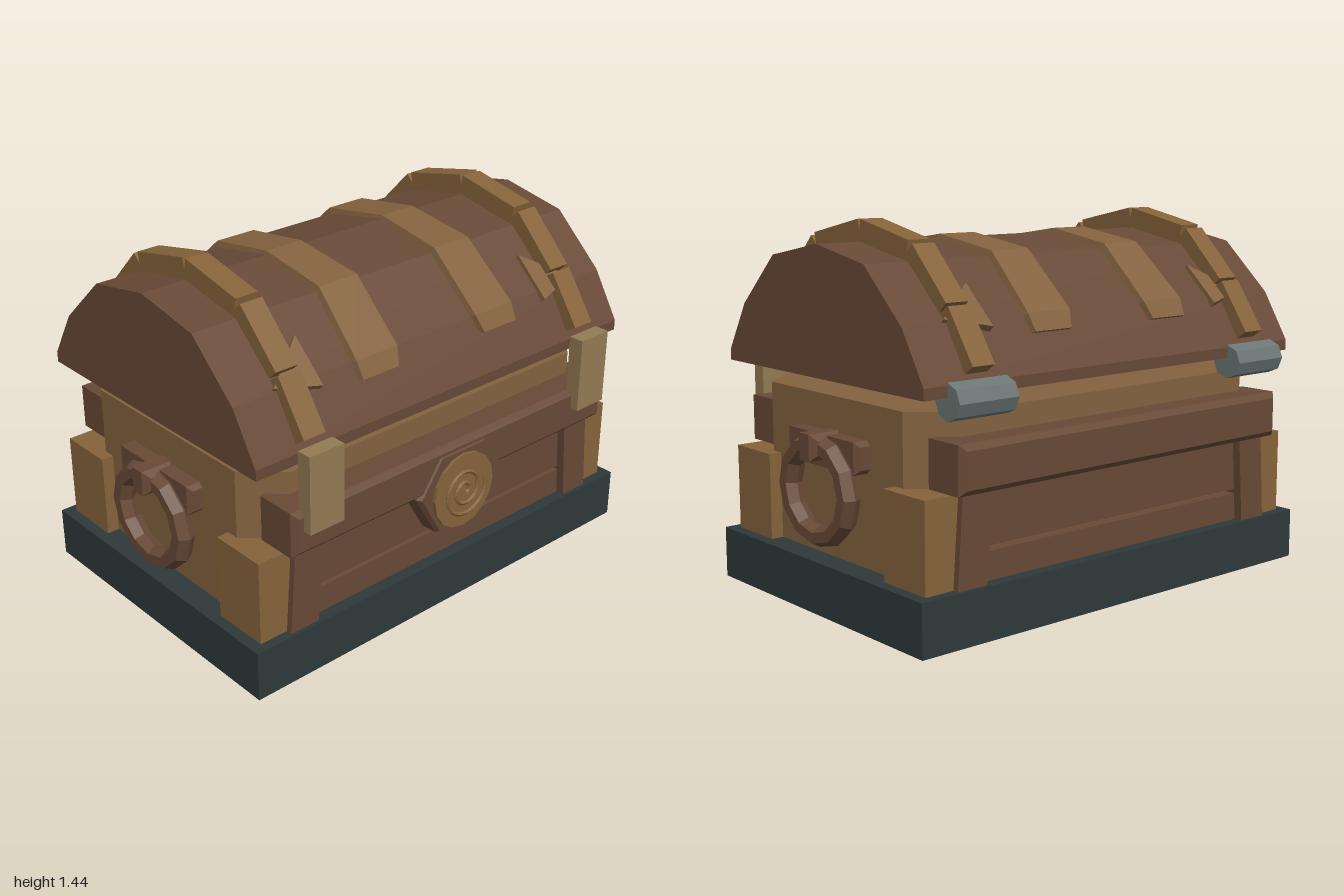
import * as THREE from 'three';

const mat = (color) => new THREE.MeshStandardMaterial({ color, flatShading: true });

// Closed solid through cross-section loops of [x, y, z] points, always facing outward
function loft(sections) {
  const n = sections[0].length, tris = [];
  for (let s = 0; s < sections.length - 1; s++) {
    const a = sections[s], b = sections[s + 1];
    for (let i = 0; i < n; i++) {
      const j = (i + 1) % n;
      tris.push([a[i], a[j], b[j]], [a[i], b[j], b[i]]);
    }
  }
  const first = sections[0], last = sections[sections.length - 1];
  for (let i = 1; i < n - 1; i++) {
    tris.push([first[0], first[i + 1], first[i]], [last[0], last[i], last[i + 1]]);
  }
  const v = (p) => new THREE.Vector3(...p);
  const center = v(first[0]);
  let volume = 0;
  for (const [a, b, c] of tris) {
    volume += v(a).sub(center).dot(v(b).sub(center).cross(v(c).sub(center)));
  }
  const points = tris.flatMap(([a, b, c]) => (volume < 0 ? [a, c, b] : [a, b, c])).flat();
  const geo = new THREE.BufferGeometry();
  geo.setAttribute('position', new THREE.Float32BufferAttribute(points, 3));
  geo.computeVertexNormals();
  return geo;
}

// Profile of [z, y] points extruded along x, centred on x = 0
function prismX(points, width) {
  const shape = new THREE.Shape(points.map(([z, y]) => new THREE.Vector2(z, y)));
  return new THREE.ExtrudeGeometry(shape, { depth: width, bevelEnabled: false })
    .translate(0, 0, -width / 2).rotateY(-Math.PI / 2);
}

// Box with chamfered edges, centred on the origin
function chamferBox(w, h, d, b) {
  const x = w / 2 - b, y = h / 2 - b;
  const shape = new THREE.Shape([[-x, -y], [x, -y], [x, y], [-x, y]].map((p) => new THREE.Vector2(...p)));
  return new THREE.ExtrudeGeometry(shape, {
    depth: d - 2 * b, bevelSize: b, bevelThickness: b, bevelSegments: 1,
  }).translate(0, 0, b - d / 2);
}

export function createModel() {
  const model = new THREE.Group();
  const chest = new THREE.Group();
  chest.name = 'chest';
  chest.position.z = -0.01;
  model.add(chest);

  const darkWood = mat(0x684936), lightWood = mat(0x83623f), brass = mat(0x85633a);
  const tan = mat(0x937a54), slate = mat(0x2f393a), iron = mat(0x6b7775);

  function add(name, geo, material, x = 0, y = 0, z = 0) {
    const mesh = new THREE.Mesh(geo, material);
    mesh.name = name;
    mesh.position.set(x, y, z);
    chest.add(mesh);
    return mesh;
  }
  // Box given by its limits
  const box = (name, material, x0, x1, y0, y1, z0, z1) => add(name,
    new THREE.BoxGeometry(Math.abs(x1 - x0), y1 - y0, Math.abs(z1 - z0)), material,
    (x0 + x1) / 2, (y0 + y1) / 2, (z0 + z1) / 2);

  // Base slab and body with cut corners
  box('base', slate, -0.965, 0.965, 0, 0.2, -0.645, 0.645);
  const plan = [[0.87, -0.42], [0.87, 0.42], [0.73, 0.55], [-0.73, 0.55],
    [-0.87, 0.42], [-0.87, -0.42], [-0.73, -0.55], [0.73, -0.55]];
  add('body', loft([0.2, 0.805].map((y) => plan.map(([x, z]) => [x, y, z]))), lightWood);

  // Rails, planks, posts and corner blocks on the front and back
  for (const sz of [1, -1]) {
    add('rail', chamferBox(1.63, 0.18, 0.205, 0.022), darkWood, 0, 0.628, sz * 0.573);
    box('lowerPlank', darkWood, -0.69, 0.69, 0.2, 0.308, sz * 0.5, sz * 0.595);
    box('upperPlank', darkWood, -0.69, 0.69, 0.326, 0.55, sz * 0.5, sz * 0.595);
    for (const sx of [1, -1]) {
      const postSection = (y, x0, x1) => [[x0, 0.5], [x1, 0.5], [x1, 0.63], [x0, 0.63]]
        .map(([x, z]) => [sx * x, y, sz * z]);
      add('post', loft([postSection(0.2, 0.67, 0.8), postSection(0.55, 0.645, 0.775)]), darkWood);
      box('cornerBlock', brass, sx * 0.72, sx * 0.92, 0.2, 0.535, sz * 0.37, sz * 0.605);
    }
  }

  // Arched lid
  const half = [[0.62, 0.874], [0.62, 0.916], [0.505, 1.105], [0.29, 1.303]];
  const mirrored = half.map(([z, y]) => [-z, y]).reverse();
  add('lid', prismX([...half, [0, 1.357], ...mirrored], 1.86), darkWood);

  // Lid straps made of plates, with latch and hinge
  const plates = [[[0.647, 0.973], [0.515, 1.166]], [[0.504, 1.175], [0.317, 1.366]],
    [[0.294, 1.378], [0.009, 1.439]]];
  for (const sx of [1, -1]) {
    const x = sx * 0.695;
    for (const [a, b] of plates) {
      const dz = b[0] - a[0], dy = b[1] - a[1], t = 0.08 / Math.hypot(dz, dy);
      const quad = [a, b, [b[0] - dy * t, b[1] + dz * t], [a[0] - dy * t, a[1] + dz * t]];
      for (const sz of [1, -1]) {
        add('strapPlate', prismX(quad.map(([z, y]) => [sz * z, y]), 0.097), brass, x);
      }
    }
    box('latch', tan, x - 0.077, x + 0.077, 0.64, 0.945, 0.648, 0.71);
    const hinge = new THREE.CylinderGeometry(0.067, 0.067, 0.26, 8).rotateZ(Math.PI / 2);
    add('hinge', hinge, iron, sx * 0.7, 0.859, -0.618);
  }

  // Uneven lighter planks over the lid: [z, y, inner x, outer x, thickness]
  const bandRows = [[0.54, 1.045, 0.21, 0.405, 0.02], [0.505, 1.105, 0.19, 0.41, 0.025],
    [0.29, 1.303, 0.185, 0.39, 0.025], [0, 1.357, 0.195, 0.385, 0.014],
    [-0.29, 1.303, 0.185, 0.385, 0.025], [-0.505, 1.105, 0.18, 0.405, 0.025],
    [-0.54, 1.045, 0.2, 0.395, 0.02]];
  for (const sx of [1, -1]) {
    const sections = bandRows.map(([z, y, x0, x1, t]) => {
      const len = Math.hypot(z, y - 0.8), nz = z / len, ny = (y - 0.8) / len;
      const at = (x, h) => [sx * x, y + ny * h, z + nz * h];
      return [at(x0, -0.03), at(x1, -0.03), at(x1 - 0.012, t), at(x0 + 0.012, t)];
    });
    add('lidBand', loft(sections), lightWood);

    // Pointed splinters beneath the straps
    for (const sz of [1, -1]) {
      const tip = [[0.57, 1.075, 0.537], [0.57, 1.215, 0.386], [0.76, 1.11, 0.5]];
      const layer = (h) => tip.map(([x, y, z]) => [sx * x, y + 0.736 * h, sz * (z + 0.677 * h)]);
      add('lidSplinter', loft([layer(-0.03), layer(0.016)]), lightWood);
    }
  }

  // Side ring handles
  for (const sx of [1, -1]) {
    add('handlePlate', chamferBox(0.1, 0.12, 0.45, 0.018), darkWood, sx * 0.88, 0.612, 0);
    const ring = new THREE.TorusGeometry(0.19, 0.043, 6, 12).rotateY(Math.PI / 2).scale(1, 0.92, 1);
    add('ringHandle', ring, darkWood, sx * 0.94, 0.466, 0);
    add('handleClasp', chamferBox(0.13, 0.1, 0.11, 0.025), darkWood, sx * 0.935, 0.632, 0);
  }

  // Lock plate, round medallion and its raised spiral
  const plate = [[-0.225, 0.54], [-0.12, 0.36], [0.12, 0.36], [0.225, 0.54], [0.12, 0.69], [-0.12, 0.69]];
  const layer = (z, s) => plate.map(([x, y]) => [x * s, 0.53 + (y - 0.53) * s, z]);
  add('lockPlate', loft([layer(0.58, 1), layer(0.665, 1), layer(0.682, 0.93)]), darkWood);
  add('medallion', new THREE.CylinderGeometry(0.155, 0.155, 0.03, 16).rotateX(Math.PI / 2), brass, 0, 0.513, 0.68);
  const spiral = [];
  for (let i = 0; i <= 30; i++) {
    const a = 0.2 - (1 - i / 30) * Math.PI * 4.4, r = 0.015 + 0.1 * i / 30;
    spiral.push(new THREE.Vector3(r * Math.cos(a), r * Math.sin(a), 0));
  }
  add('medallionSpiral', new THREE.TubeGeometry(new THREE.CatmullRomCurve3(spiral), 60, 0.009, 5),
    brass, 0, 0.513, 0.695);

  return model;
}
